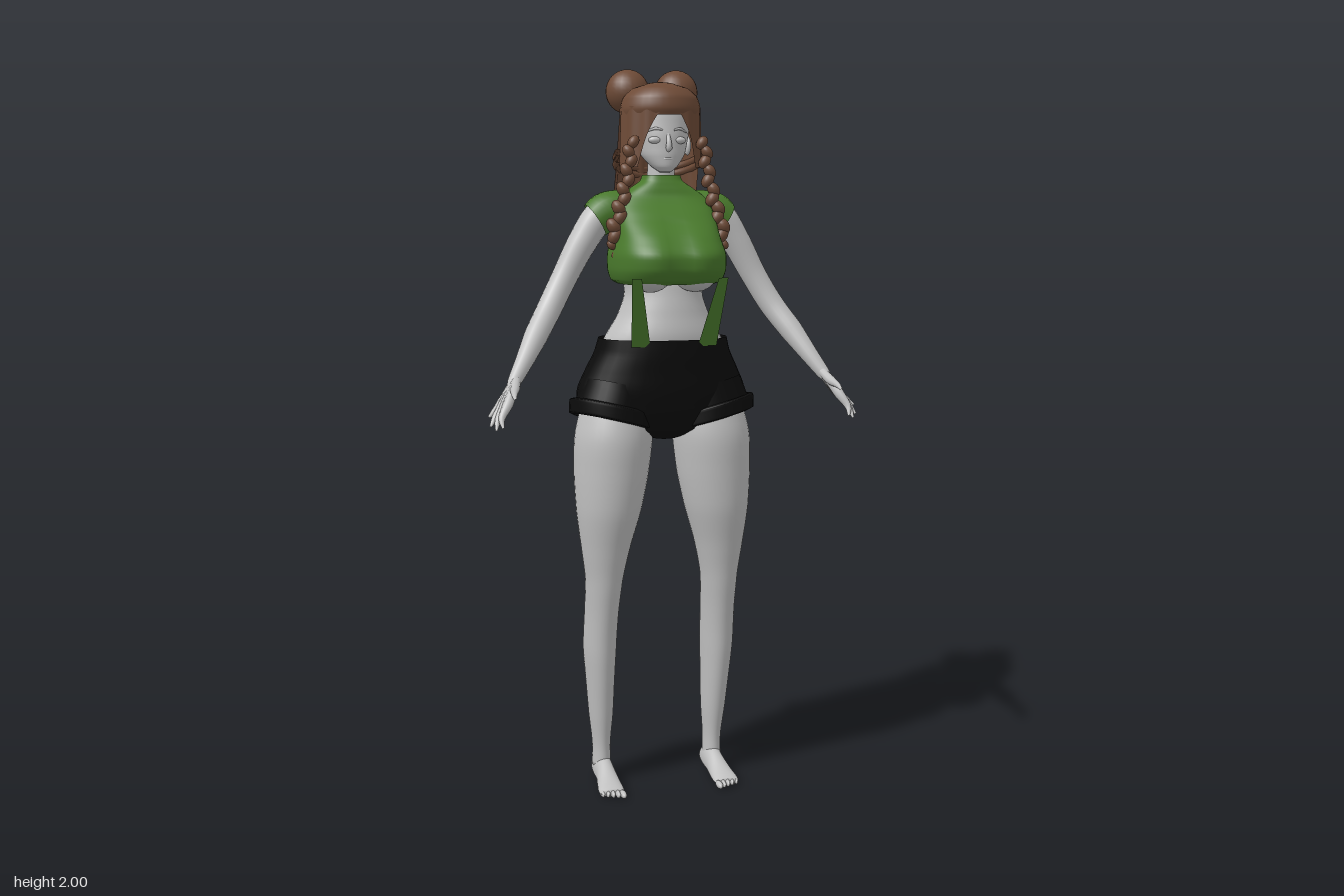
import * as THREE from 'three';
import { ParametricGeometry } from 'three/addons/geometries/ParametricGeometry.js';

const makeMat = (name, color, side = THREE.FrontSide) => {
  const m = new THREE.MeshStandardMaterial({ color, side });
  m.name = name;
  return m;
};
const lerp = THREE.MathUtils.lerp;
const V = (x, y, z) => new THREE.Vector3(x, y, z);

// Smooth skin over horizontal rings, bottom to top: [y, x, z, halfWidth, front, back]
function loft(rows, { seg = 36, steps = 5, power = 1, open = false, rule } = {}) {
  const centre = new THREE.CatmullRomCurve3(rows.map(r => V(r[1], r[0], r[2])));
  const radii = new THREE.CatmullRomCurve3(rows.map(r => V(r[3], r[4], r[5])));
  const n = (rows.length - 1) * steps, pos = [], idx = [];
  const bend = c => Math.sign(c) * Math.abs(c) ** power;
  for (let i = 0; i <= n; i++) {
    const c = centre.getPoint(i / n), r = radii.getPoint(i / n);
    for (let j = 0; j < seg; j++) {
      const a = j / seg * Math.PI * 2, k = bend(Math.cos(a));
      const p = V(c.x + r.x * bend(Math.sin(a)), c.y, c.z + k * (k > 0 ? r.y : r.z));
      if (rule) rule(p);
      pos.push(p.x, p.y, p.z);
      if (i < n) {
        const b = i * seg + j, d = i * seg + (j + 1) % seg;
        idx.push(b, d, b + seg, d, d + seg, b + seg);
      }
    }
  }
  if (!open) {
    const lo = (n + 1) * seg, top = n * seg;
    [0, n].forEach(i => { const c = centre.getPoint(i / n); if (rule) rule(c); pos.push(c.x, c.y, c.z); });
    for (let j = 0; j < seg; j++) {
      const k = (j + 1) % seg;
      idx.push(lo, k, j, lo + 1, top + j, top + k);
    }
  }
  const g = new THREE.BufferGeometry();
  g.setAttribute('position', new THREE.Float32BufferAttribute(pos, 3));
  g.setIndex(idx);
  g.computeVertexNormals();
  return g;
}

// Tube with a changing radius through points [x, y, z, radius]
function limb(pts, steps = 6, seg = 18) {
  const curve = new THREE.CatmullRomCurve3(pts.map(p => V(p[0], p[1], p[2])));
  const n = (pts.length - 1) * steps, g = new THREE.TubeGeometry(curve, n, 1, seg), a = g.attributes.position;
  for (let i = 0; i <= n; i++) {
    const c = curve.getPointAt(i / n), t = curve.getUtoTmapping(i / n) * (pts.length - 1);
    const k = Math.min(Math.floor(t), pts.length - 2), r = lerp(pts[k][3], pts[k + 1][3], t - k);
    for (let j = 0; j <= seg; j++) {
      const q = i * (seg + 1) + j, p = V().fromBufferAttribute(a, q).sub(c).multiplyScalar(r).add(c);
      a.setXYZ(q, p.x, p.y, p.z);
    }
  }
  return g;
}
const ball = (x, y, z, rx, ry = rx, rz = rx) => new THREE.SphereGeometry(1, 24, 16).scale(rx, ry, rz).translate(x, y, z);

export function createModel() {
  const model = new THREE.Group();
  model.name = 'figure';
  const skin = makeMat('skin', 0xc0c0c0), hair = makeMat('brownHair', 0x6e4b37, THREE.DoubleSide);
  const green = makeMat('greenCloth', 0x49792c, THREE.DoubleSide), black = makeMat('blackCloth', 0x0b0b0b, THREE.DoubleSide);
  const add = (name, geo, mat) => {
    const m = new THREE.Mesh(geo, mat);
    m.name = name;
    model.add(m);
  };

  // Torso, neck and head
  add('torso', loft([[1.2, 0, -.02, .18, .1, .11], [1.27, 0, -.02, .166, .12, .108], [1.34, 0, -.015, .127, .11, .088],
    [1.4, 0, -.015, .108, .1, .087], [1.47, 0, -.015, .115, .09, .09], [1.55, 0, -.02, .12, .08, .09],
    [1.62, 0, -.03, .11, .06, .075], [1.67, 0, -.035, .06, .04, .05], [1.7, 0, -.037, .038, .036, .038],
    [1.77, 0, -.037, .036, .035, .036]]), skin);
  add('head', loft([[1.722, 0, .01, .014, .018, .03], [1.737, 0, 0, .034, .038, .05], [1.77, 0, -.02, .06, .062, .07],
    [1.82, 0, -.035, .074, .077, .085], [1.87, 0, -.045, .08, .08, .085], [1.92, 0, -.045, .07, .065, .07],
    [1.945, 0, -.045, .04, .04, .04]]), skin);
  add('nose', limb([[0, 1.825, .036, .004], [0, 1.8, .047, .007], [0, 1.785, .047, .009], [0, 1.778, .038, .004]]), skin);
  add('lips', ball(0, 1.757, .034, .016, .006, .008), skin);

  // Shorts
  add('shorts', loft([[1, 0, -.03, .04, .06, .08], [1.03, 0, -.035, .16, .105, .125], [1.08, 0, -.035, .23, .126, .145],
    [1.13, 0, -.035, .236, .137, .15], [1.19, 0, -.03, .212, .138, .148], [1.24, 0, -.025, .188, .138, .135],
    [1.277, 0, -.02, .178, .134, .128]], { open: true, power: .92 }), black);

  // Cropped top with a shallow dip in the middle of the chest
  add('croppedTop', loft([[1.425, 0, 0, .128, .135, .085], [1.435, 0, 0, .145, .165, .092], [1.465, 0, 0, .154, .186, .1],
    [1.5, 0, 0, .154, .19, .106], [1.55, 0, 0, .143, .152, .114], [1.6, 0, 0, .136, .09, .116],
    [1.65, 0, -.02, .122, .055, .095], [1.68, 0, -.03, .085, .052, .062], [1.7, 0, -.035, .056, .05, .05],
    [1.715, 0, -.035, .05, .045, .045]], {
    open: true, power: .7, seg: 56,
    rule: p => { if (p.z > 0) p.z *= 1 - .09 * Math.exp(-((p.x / .035) ** 2)) * (p.y < 1.6 ? 1 : 0.3); }
  }), green);

  for (const s of [1, -1]) {
    const side = s > 0 ? 'left' : 'right';
    const mir = pts => pts.map(([x, ...r]) => [x * s, ...r]);
    const mirRows = rows => rows.map(([y, x, ...r]) => [y, x * s, ...r]);

    // Face details
    add(side + 'Eyelid', ball(.033 * s, 1.806, .029, .019, .01, .012), skin);
    add(side + 'Brow', limb(mir([[.015, 1.832, .04, .002], [.034, 1.836, .034, .004], [.055, 1.828, .02, .002]])), skin);
    add(side + 'Ear', ball(.08 * s, 1.795, -.055, .009, .026, .017), skin);
    add(side + 'Chest', ball(.062 * s, 1.462, .085, .062, .058, .07), skin);

    // Leg and foot
    add(side + 'Leg', loft(mirRows([[.045, .165, -.086, .026, .038, .038], [.1, .165, -.085, .025, .038, .042],
      [.2, .167, -.08, .034, .05, .05], [.3, .17, -.073, .04, .06, .062], [.4, .172, -.066, .046, .068, .07],
      [.5, .17, -.05, .047, .067, .07], [.6, .167, -.028, .052, .063, .064], [.7, .163, -.02, .069, .075, .077],
      [.8, .155, -.017, .09, .095, .098], [.9, .147, -.02, .103, .108, .11], [1, .14, -.02, .108, .113, .115],
      [1.1, .13, -.025, .095, .1, .11]])), skin);
    add(side + 'Foot', loft(mirRows([[-.135, .163, -.025, .01, .01, .012], [-.125, .163, -.029, .023, .024, .028],
      [-.08, .163, -.03, .028, .029, .048], [-.04, .163, -.025, .028, .022, .043], [.01, .165, -.018, .033, .015, .027],
      [.05, .167, -.014, .036, .012, .015], [.07, .167, -.012, .032, .009, .01]])).rotateX(Math.PI / 2), skin);
    for (let i = 0; i < 5; i++)
      add(side + 'Toe', ball((.14 + i * .0135) * s, .011, .079 - i * .006, i ? .0065 : .009, .01, .022), skin);

    // Shorts leg with a turned-up slanting cuff
    const slant = p => { p.y += .26 * (Math.abs(p.x) - .14) + .14 * p.z; };
    add(side + 'ShortsLeg', loft(mirRows([[1.06, .14, -.025, .111, .117, .13], [1.15, .12, -.03, .1, .115, .13]]),
      { open: true, rule: slant }), black);
    add(side + 'ShortsCuff', loft(mirRows([[1.046, .14, -.025, .111, .116, .13], [1.05, .14, -.025, .12, .127, .142],
      [1.085, .139, -.025, .119, .127, .142], [1.091, .138, -.025, .11, .118, .132]]), { open: true, rule: slant }), black);

    // Suspender strap
    add(side + 'Strap', new ParametricGeometry((u, v, t) => t.set(
      s * (lerp(.092, .118, v) + (u - .5) * lerp(.052, .026, v)), lerp(1.26, 1.445, v), lerp(.102, .165, v)), 2, 6), green);

    // Sleeve, arm and hand
    add(side + 'Sleeve', limb(mir([[.09, 1.615, -.045, .062], [.15, 1.615, -.045, .056], [.182, 1.594, -.045, .049]])), green);
    add(side + 'Arm', limb(mir([[.12, 1.63, -.045, .036], [.17, 1.603, -.045, .044], [.215, 1.54, -.045, .04],
      [.27, 1.44, -.04, .035], [.315, 1.36, -.018, .034], [.36, 1.29, .022, .032], [.4, 1.225, .06, .024],
      [.432, 1.175, .088, .018], [.445, 1.155, .1, .01]])), skin);
    for (let i = 0; i < 4; i++) {
      const tip = [[.507, 1.09, .128], [.505, 1.067, .147], [.492, 1.058, .162], [.475, 1.065, .172]][i];
      add(side + 'Finger', limb(mir([[.428, 1.18, .08 + i * .005, .012], [.466 - i * .003, 1.125, .102 + i * .013, .014],
        [lerp(.48, tip[0], .45), lerp(1.11, tip[1], .5), lerp(.108 + i * .014, tip[2], .5), .0085], [...tip, .003]]), 5, 10), skin);
    }
    add(side + 'Thumb', limb(mir([[.427, 1.18, .092, .013], [.437, 1.16, .13, .013], [.444, 1.15, .165, .008],
      [.446, 1.14, .19, .003]]), 5, 10), skin);

    // Hair bun
    add(side + 'HairBun', ball(.069 * s, 1.942, -.135, .06), hair);

    // Hair falling beside the face from the centre parting
    add(side + 'HairCurtain', new ParametricGeometry((u, v, t) => {
      const a = lerp(.8 * Math.sqrt(v), lerp(1.75, 1.5, v), u), w = 1 + .015 * Math.sin(a * 14);
      t.set(s * lerp(.109, .114, v) * Math.sin(a) * w, lerp(1.895, 1.735, v), -.045 + lerp(.103, .1, v) * Math.cos(a) * w);
    }, 24, 14), hair);

    // Braid of alternating lobes
    const braid = new THREE.CatmullRomCurve3([V(.1, 1.8, .035), V(.113, 1.71, .04), V(.135, 1.62, .045), V(.153, 1.55, .042), V(.148, 1.505, .035)]);
    for (let i = 0; i < 13; i++) {
      const p = braid.getPointAt(i / 12), r = i > 10 ? .013 : .017 + .005 * i / 12;
      const lobe = new THREE.SphereGeometry(1, 14, 10).scale(r * .85, r * 1.15, r).rotateZ(i % 2 ? .6 : -.6);
      add(side + 'Braid', lobe.translate((p.x + (i % 2 ? .005 : -.005)) * s, p.y, p.z), hair);
    }
  }

  // Hair crown
  add('hairCrown', loft([[1.872, 0, -.045, .108, .1, .096], [1.89, 0, -.045, .11, .106, .097], [1.92, 0, -.045, .102, .102, .092],
    [1.945, 0, -.045, .075, .08, .07], [1.96, 0, -.045, .025, .03, .03]], { open: true }), hair);
  add('hairCrownCap', ball(0, 1.952, -.045, .045, .01, .05), hair);

  // Long back hair with strands and an uneven hem
  add('backHair', new ParametricGeometry((u, v, t) => {
    const a = lerp(lerp(1.6, 2.05, v), Math.PI * 2 - lerp(1.6, 2.05, v), u);
    const w = 1 + .025 * v * Math.sin(a * 22), hem = 1.585 + .014 * Math.sin(a * 11);
    t.set(lerp(.109, .132, v) * Math.sin(a) * w, lerp(1.9, hem, v), -.045 + lerp(.096, .13, v) * Math.cos(a) * w);
  }, 72, 20), hair);

  // Two ropes of hair wrapped round the back
  for (const d of [0, .018]) {
    const rope = [];
    for (let i = 0; i <= 8; i++) {
      const a = lerp(1.5, Math.PI * 2 - 1.5, i / 8), k = Math.sin(i / 8 * Math.PI);
      rope.push([.12 * Math.sin(a), 1.775 - .04 * k - d, -.045 + .123 * Math.cos(a), .01]);
    }
    add('hairWrap', limb(rope, 5, 10), hair);
  }
  return model;
}
